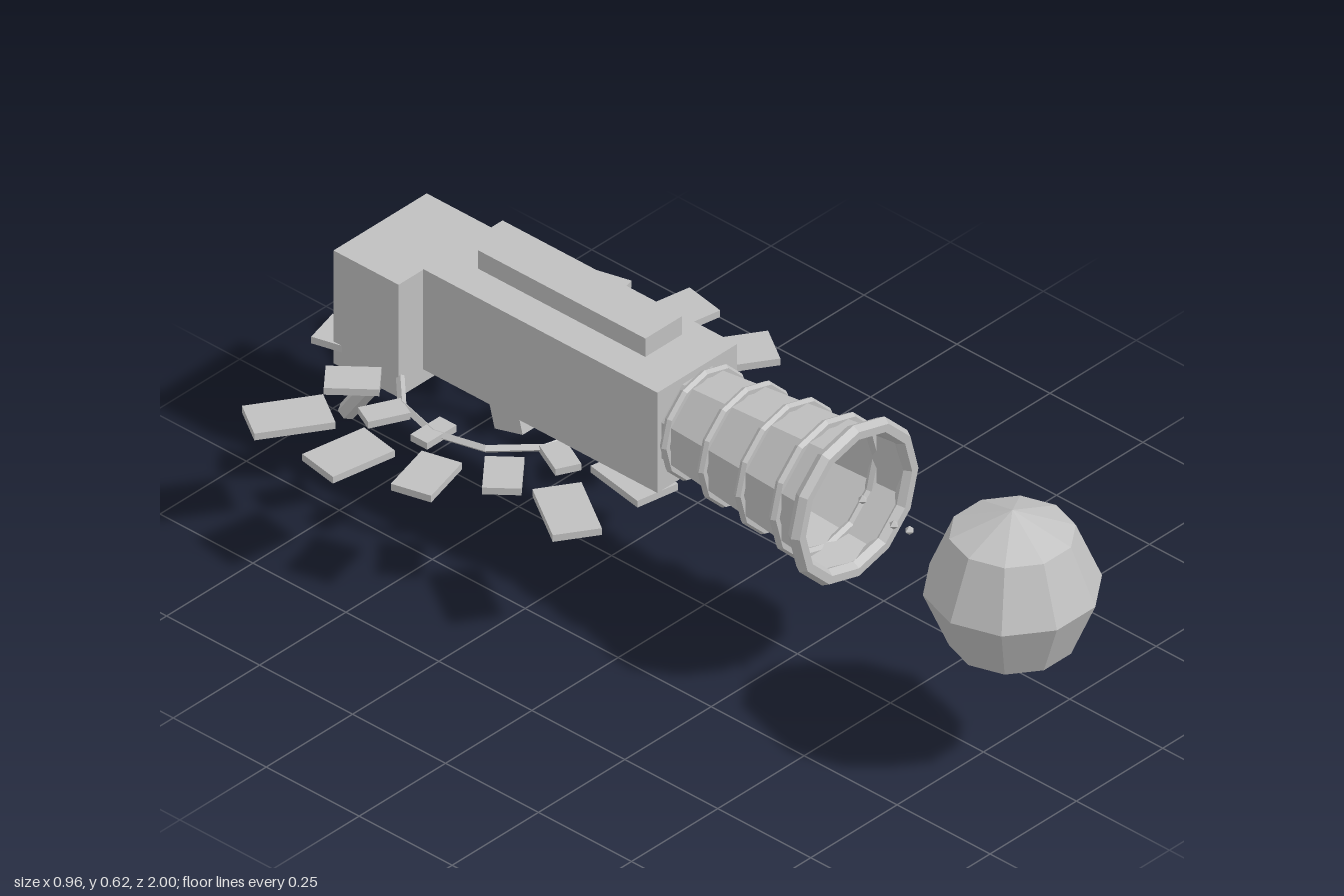
import * as THREE from 'three';

export function createModel() {
  const model = new THREE.Group();
  model.name = 'model';
  const grey = new THREE.MeshStandardMaterial({ color: 0xc0c0c0, flatShading: true, side: THREE.DoubleSide });
  grey.name = 'plainGrey';

  const add = (name, geometry, x = 0, y = 0, z = 0, parent = model) => {
    const mesh = new THREE.Mesh(geometry, grey);
    mesh.name = name;
    mesh.position.set(x, y, z);
    parent.add(mesh);
    return mesh;
  };
  const box = (w, h, d) => new THREE.BoxGeometry(w, h, d);
  const axisY = 0.44;

  // Main housing, raised top rail and rear block
  add('housing', box(0.23, 0.24, 0.63), 0, axisY, -0.335);
  add('topRail', box(0.106, 0.044, 0.45), 0, 0.594, -0.335);
  add('rearBlock', box(0.27, 0.27, 0.175), 0, 0.375, -0.785);

  // Tilted grip under the housing
  add('grip', box(0.06, 0.14, 0.078), 0, 0.266, -0.517).rotation.x = -0.26;

  // Slanted rear rod, set between its two ends
  const top = new THREE.Vector3(0, 0.435, -0.665);
  const foot = new THREE.Vector3(0, 0.015, -0.962);
  const rod = add('rearRod', new THREE.CylinderGeometry(0.02, 0.02, top.distanceTo(foot), 6));
  rod.position.copy(top).add(foot).multiplyScalar(0.5);
  rod.quaternion.setFromUnitVectors(new THREE.Vector3(0, 1, 0), top.clone().sub(foot).normalize());

  // Open flared barrel with hoops
  const barrel = new THREE.CylinderGeometry(0.155, 0.112, 0.42, 8, 1, true);
  barrel.rotateY(Math.PI / 8).rotateX(Math.PI / 2);
  add('barrel', barrel, 0, axisY, 0.19);
  const hoops = [[0, 0.115, 0.01], [0.11, 0.126, 0.01], [0.22, 0.137, 0.01], [0.325, 0.148, 0.011], [0.4, 0.163, 0.018]];
  for (const [z, radius, tube] of hoops) {
    add('barrelHoop', new THREE.TorusGeometry(radius, tube, 6, 12), 0, axisY, z);
  }

  // Ball in front and the trail of small beads leading to it
  add('ball', new THREE.SphereGeometry(0.18, 10, 4), 0, axisY, 0.828);
  for (const [x, y, z] of [[0, 0.455, 0.425], [0.015, 0.42, 0.495], [-0.015, 0.455, 0.565], [-0.005, 0.42, 0.64]]) {
    add('bead', new THREE.OctahedronGeometry(0.011), x, y, z);
  }

  // Flat wheel: a thin ring with plates repeating every quarter turn
  const wheel = new THREE.Group();
  wheel.name = 'wheel';
  wheel.position.set(0, 0.284, -0.52);
  model.add(wheel);
  add('wheelRing', new THREE.TorusGeometry(0.225, 0.009, 4, 12).rotateX(Math.PI / 2), 0, 0, 0, wheel);
  // angle from the back, distance, width, length
  const plates = [
    ['innerPlate', 0, 0.225, 0.045, 0.085],
    ['innerPlate', 26, 0.268, 0.055, 0.09],
    ['innerPlate', 50, 0.313, 0.078, 0.11],
    ['outerPlate', 10, 0.402, 0.1, 0.153],
    ['outerPlate', 33, 0.452, 0.1, 0.165],
    ['outerPlate', 75, 0.357, 0.09, 0.13],
  ];
  for (let quarter = 0; quarter < 4; quarter++) {
    for (const [name, degrees, distance, width, length] of plates) {
      const a = THREE.MathUtils.degToRad(degrees + quarter * 90);
      const plate = add(name, box(width, 0.016, length), Math.sin(a) * distance, 0, -Math.cos(a) * distance, wheel);
      plate.rotation.y = -a;
    }
  }
  return model;
}
